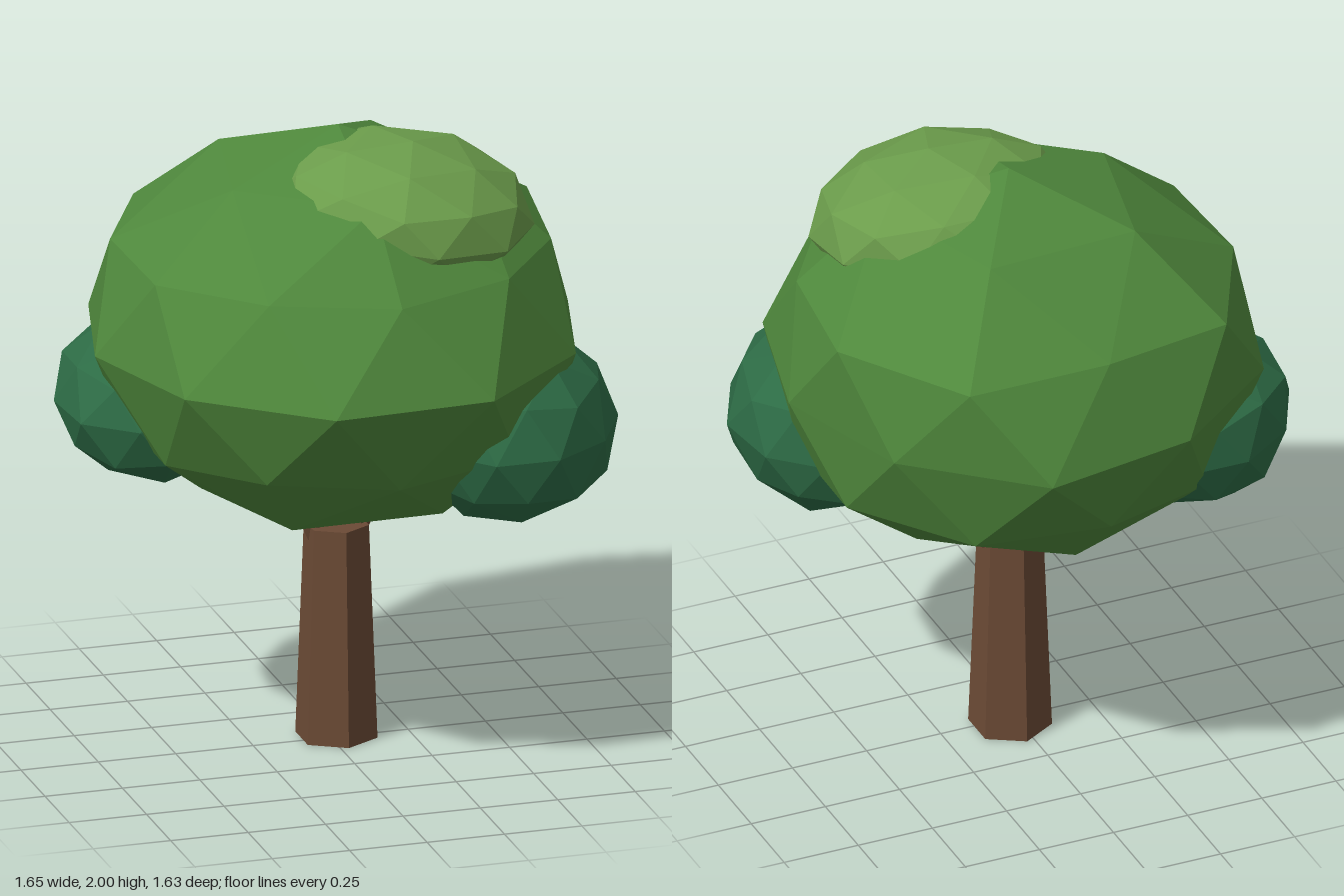
import * as THREE from 'three';
import { ConvexGeometry } from 'three/addons/geometries/ConvexGeometry.js';

const material = (color) => new THREE.MeshStandardMaterial({ color, flatShading: true });
const bark = material(0x6b4a35);
const leaf = material(0x4f883c);
const darkLeaf = material(0x2d6b45);
const lightLeaf = material(0x6b9c4b);

function add(parent, name, geometry, mat) {
  const mesh = new THREE.Mesh(geometry, mat);
  mesh.name = name;
  parent.add(mesh);
  return mesh;
}

// Faceted canopy: rings of points with slightly uneven radii, wrapped in a hull
function canopyGeometry() {
  // each ring: height, first angle in degrees, radii spread evenly around
  const rings = [
    [1.875, 56, [0.43, 0.42, 0.38, 0.42, 0.42]],
    [1.64, 20, [0.76, 0.67, 0.68, 0.66, 0.67]],
    [1.63, 56, [0.79, 0.74, 0.68, 0.67, 0.68]],
    [1.34, 2, [0.775, 0.79, 0.854, 0.78, 0.78, 0.77, 0.79, 0.845, 0.834, 0.79]],
    [1.06, 20, [0.72, 0.68, 0.65, 0.68, 0.70]],
    [1.03, 56, [0.69, 0.67, 0.64, 0.65, 0.68]],
    [0.82, 20, [0.42, 0.43, 0.40, 0.41, 0.42]],
  ];
  const points = [new THREE.Vector3(0.03, 2, -0.02), new THREE.Vector3(0.03, 0.72, -0.02)];
  for (const [y, start, radii] of rings) {
    radii.forEach((r, i) => {
      const a = THREE.MathUtils.degToRad(start + (360 / radii.length) * i);
      points.push(new THREE.Vector3(r * Math.cos(a), y, -r * Math.sin(a)));
    });
  }
  return new ConvexGeometry(points);
}

// Faceted leaf clump with a gentle unevenness that depends on position
function clumpGeometry(rx, ry, rz, seed) {
  const geometry = new THREE.IcosahedronGeometry(1, 1).rotateZ(0.5536);
  const pos = geometry.attributes.position;
  const v = new THREE.Vector3();
  for (let i = 0; i < pos.count; i++) {
    v.fromBufferAttribute(pos, i);
    v.multiplyScalar(1 + 0.025 * Math.sin(3 * v.x + 4 * v.y + 2 * v.z + seed));
    pos.setXYZ(i, v.x * rx, v.y * ry, v.z * rz);
  }
  geometry.computeVertexNormals();
  return geometry;
}

export function createModel() {
  const tree = new THREE.Group();
  tree.name = 'tree';

  // Tapered six-sided trunk
  add(tree, 'trunk', new THREE.CylinderGeometry(0.103, 0.13, 0.695, 6), bark)
    .position.set(0.025, 0.3475, -0.02);

  // Short branches spreading from the trunk into the leaves
  for (const side of [-1, 1]) {
    const from = new THREE.Vector3(0.025 + side * 0.05, 0.66, -0.03);
    const to = new THREE.Vector3(0.025 + side * 0.2, 0.95, -0.03);
    const dir = to.clone().sub(from);
    const branch = add(tree, side > 0 ? 'leftBranch' : 'rightBranch',
      new THREE.CylinderGeometry(0.03, 0.045, dir.length(), 5), bark);
    branch.position.copy(from).add(to).multiplyScalar(0.5);
    branch.quaternion.setFromUnitVectors(new THREE.Vector3(0, 1, 0), dir.normalize());
  }

  // Main leaf mass
  add(tree, 'canopy', canopyGeometry(), leaf);

  // Dark clumps low on both sides
  const leftClump = add(tree, 'leftLeafClump', clumpGeometry(0.32, 0.305, 0.39, 0), darkLeaf);
  leftClump.position.set(0.495, 1.08, 0.305);
  leftClump.rotation.y = -0.43;
  const rightClump = add(tree, 'rightLeafClump', clumpGeometry(0.32, 0.265, 0.39, 2), darkLeaf);
  rightClump.position.set(-0.495, 1.11, -0.22);
  rightClump.rotation.y = -0.43;

  // Light clump on top, leaning with the slope of the canopy
  const topClump = add(tree, 'topLeafClump', clumpGeometry(0.405, 0.215, 0.39, 4), lightLeaf);
  topClump.position.set(0.18, 1.78, 0.165);
  topClump.rotation.set(0.12, 0, -0.12);

  return tree;
}
